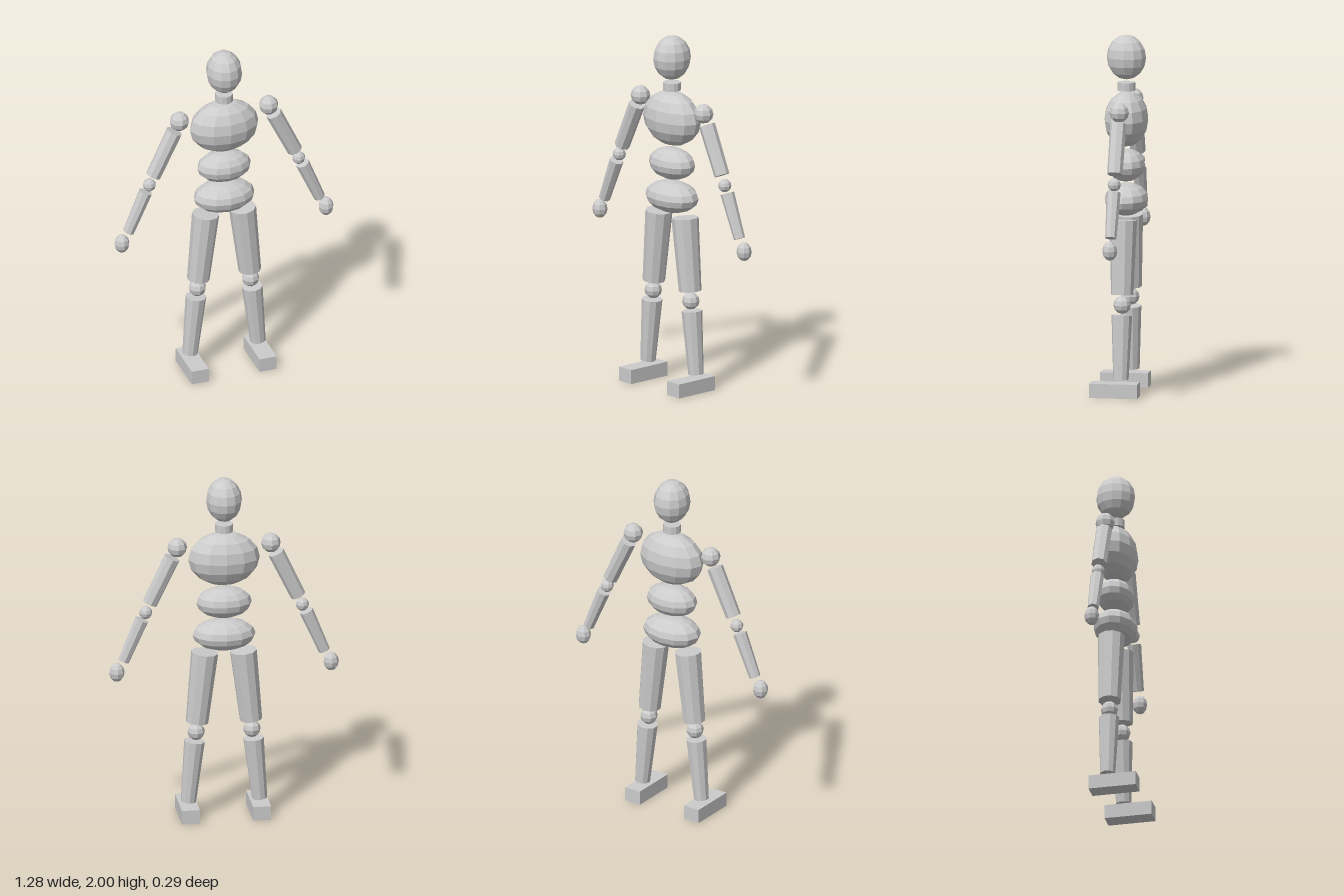
import * as THREE from 'three';

const Z = -0.024; // depth of the body's centre line

export function createModel() {
  const model = new THREE.Group();
  model.name = 'jointedFigure';
  const material = new THREE.MeshStandardMaterial({ color: 0xcccccc, flatShading: true });

  function add(name, geometry, x, y, z = Z) {
    const mesh = new THREE.Mesh(geometry, material);
    mesh.name = name;
    mesh.position.set(x, y, z);
    model.add(mesh);
    return mesh;
  }

  // Faceted ellipsoid
  function ball(name, x, y, [rx, ry, rz], sides = 8, rings = 6) {
    add(name, new THREE.SphereGeometry(1, sides, rings).scale(rx, ry, rz), x, y);
  }

  // Tapered limb running between two points of the frontal plane
  function limb(name, [x1, y1], [x2, y2], rTop, rBottom, sides) {
    const length = Math.hypot(x2 - x1, y2 - y1);
    const mesh = add(name, new THREE.CylinderGeometry(rTop, rBottom, length, sides),
      (x1 + x2) / 2, (y1 + y2) / 2);
    mesh.rotation.z = Math.atan2(x2 - x1, y1 - y2);
  }

  // Head, neck and trunk
  ball('head', 0, 1.875, [0.1, 0.125, 0.11], 12, 8);
  add('neck', new THREE.CylinderGeometry(0.05, 0.05, 0.045, 12), 0, 1.712);
  ball('chest', 0, 1.529, [0.2, 0.154, 0.122], 12, 8);
  ball('abdomen', 0, 1.27, [0.155, 0.089, 0.105], 12, 8);
  ball('pelvis', 0, 1.08, [0.176, 0.089, 0.122], 12, 8);

  // Arms and legs, mirrored
  for (const [side, s] of [['left', 1], ['right', -1]]) {
    ball(side + 'Shoulder', s * 0.262, 1.606, [0.055, 0.055, 0.055]);
    limb(side + 'UpperArm', [s * 0.291, 1.547], [s * 0.415, 1.285], 0.046, 0.043, 8);
    ball(side + 'Elbow', s * 0.438, 1.231, [0.037, 0.037, 0.037]);
    limb(side + 'Forearm', [s * 0.46, 1.19], [s * 0.561, 0.951], 0.039, 0.032, 8);
    ball(side + 'Hand', s * 0.599, 0.885, [0.043, 0.054, 0.042]);

    limb(side + 'Thigh', [s * 0.108, 0.978], [s * 0.151, 0.568], 0.076, 0.063, 10);
    ball(side + 'Knee', s * 0.156, 0.511, [0.049, 0.049, 0.049]);
    limb(side + 'Shin', [s * 0.165, 0.456], [s * 0.199, 0.1], 0.058, 0.043, 10);
    add(side + 'Foot', new THREE.BoxGeometry(0.1, 0.08, 0.268), s * 0.199, 0.04, 0.012);
  }
  return model;
}
